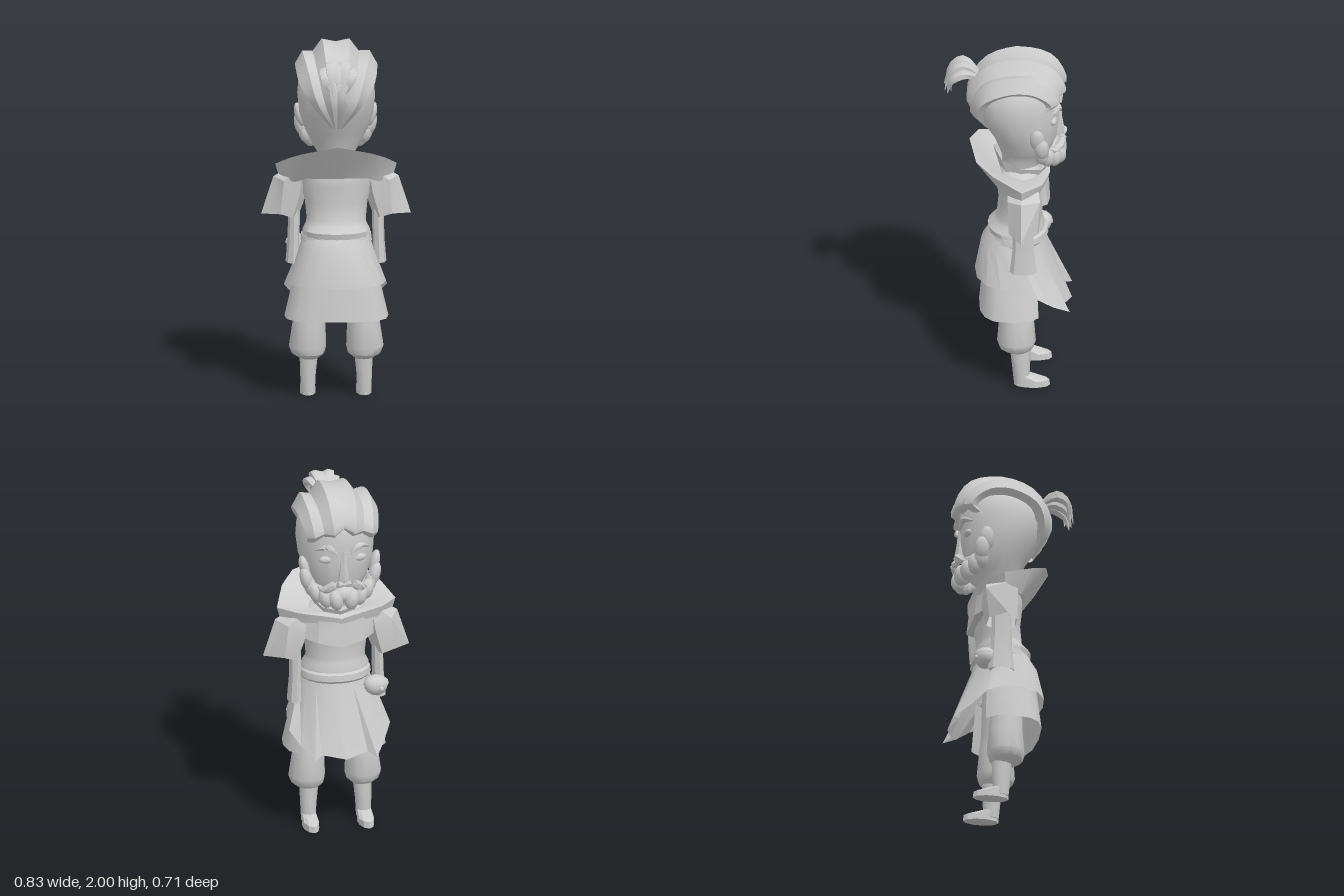
import * as THREE from 'three';
import { toCreasedNormals } from 'three/addons/utils/BufferGeometryUtils.js';

const grey = new THREE.MeshStandardMaterial({ color: 0xcccccc, side: THREE.DoubleSide });
grey.name = 'plain grey';

// Skin a list of cross-sections; rings are arrays of [x, y, z]
function loft(rings, { closed = true, caps = [true, true], crease = 0.7 } = {}) {
  const n = rings[0].length, pos = rings.flat(2), idx = [];
  for (let r = 0; r < rings.length - 1; r++) {
    for (let i = 0; i < (closed ? n : n - 1); i++) {
      const j = (i + 1) % n, a = r * n + i, b = r * n + j;
      idx.push(a, b, b + n, a, b + n, a + n);
    }
  }
  [0, rings.length - 1].forEach((r, k) => {
    if (!closed || !caps[k]) return;
    const c = pos.length / 3;
    for (let d = 0; d < 3; d++) pos.push(rings[r].reduce((s, p) => s + p[d], 0) / n);
    for (let i = 0; i < n; i++) {
      const a = r * n + i, b = r * n + (i + 1) % n;
      idx.push(...(k ? [a, b, c] : [b, a, c]));
    }
  });
  const g = new THREE.BufferGeometry();
  g.setAttribute('position', new THREE.Float32BufferAttribute(pos, 3));
  g.setIndex(idx);
  return toCreasedNormals(g, crease);
}

// Oval section at height y, from the back centre round; cx shifts it sideways
const oval = (y, w, zf, zb, n = 18, cx = 0) => Array.from({ length: n }, (_, i) => {
  const a = i / n * Math.PI * 2;
  return [cx + Math.sin(a) * w, y, (zf + zb) / 2 + Math.cos(a) * (zb - zf) / 2];
});
const flip = ([x, y, z]) => [-x, y, z];
// Closed ring from its +x half, back centre to front centre
const mirrorRing = half => [...half, ...half.slice(1, -1).reverse().map(flip)];

// Tapered strand along a curve
function strand(points, radius, flat = 1) {
  const curve = new THREE.CatmullRomCurve3(points.map(p => new THREE.Vector3(...p)));
  const rings = [];
  for (let k = 0; k <= 8; k++) {
    const t = k / 8, c = curve.getPoint(t), d = curve.getTangent(t);
    const u = new THREE.Vector3(1, 0, 0.01).cross(d).normalize(), v = d.clone().cross(u);
    const r = radius * Math.max(0.08, Math.sin(Math.PI * (0.12 + 0.86 * t)));
    rings.push(Array.from({ length: 6 }, (_, i) => {
      const a = i / 6 * Math.PI * 2;
      return c.clone().addScaledVector(u, Math.cos(a) * r * flat).addScaledVector(v, Math.sin(a) * r).toArray();
    }));
  }
  return loft(rings, { crease: 0.9 });
}

export function createModel() {
  const model = new THREE.Group();
  const add = (name, geo, p = [0, 0, 0], s = [1, 1, 1], rz = 0) => {
    const m = new THREE.Mesh(geo, grey);
    m.name = name;
    m.position.set(...p);
    m.scale.set(...s);
    m.rotation.z = rz;
    model.add(m);
  };
  const ball = new THREE.SphereGeometry(1, 10, 7);

  // Head and neck
  add('head', loft([
    [1.26, .09, -.17, .03], [1.36, .095, -.18, .03], [1.41, .13, -.24, .045], [1.5, .175, -.275, .08],
    [1.6, .207, -.285, .145], [1.7, .217, -.29, .18], [1.78, .21, -.285, .18], [1.84, .185, -.26, .15],
    [1.9, .13, -.18, .08],
  ].map(r => oval(...r)), { crease: 1 }));

  // Swept-back hair: grooves and ridges running from brow to nape
  const paths = [
    [[0, 1.81, -.27], [0, 1.83, -.305], [0, 1.94, -.24], [0, 1.985, -.05], [0, 1.92, .13], [0, 1.74, .21], [0, 1.54, .12]],
    [[.05, 1.76, -.27], [.06, 1.8, -.325], [.075, 1.95, -.25], [.075, 2, -.06], [.065, 1.935, .13], [.04, 1.74, .228], [.01, 1.54, .125]],
    [[.11, 1.77, -.26], [.11, 1.8, -.29], [.125, 1.9, -.22], [.125, 1.925, -.05], [.11, 1.87, .12], [.07, 1.7, .195], [.015, 1.54, .12]],
    [[.16, 1.73, -.24], [.165, 1.78, -.293], [.18, 1.9, -.2], [.185, 1.94, -.04], [.16, 1.87, .13], [.11, 1.7, .205], [.02, 1.54, .12]],
    [[.19, 1.72, -.2], [.2, 1.77, -.25], [.222, 1.85, -.16], [.226, 1.86, -.03], [.205, 1.79, .12], [.14, 1.68, .165], [.03, 1.54, .11]],
    [[.17, 1.72, -.18], [.18, 1.76, -.22], [.19, 1.82, -.16], [.19, 1.83, -.03], [.17, 1.77, .09], [.11, 1.66, .12], [.02, 1.55, .08]],
  ].map(p => new THREE.CatmullRomCurve3(p.map(q => new THREE.Vector3(...q)))
    .getPoints(20).map(v => v.toArray()));
  const hair = [...paths.slice(1).reverse().map(p => p.map(flip)), ...paths];
  add('hair', loft(hair, { closed: false, crease: 0.45 }));

  // Topknot of drooping strands
  for (const [x, top, end, z] of [[0, 1.925, 1.8, .35], [.035, 1.935, 1.77, .345], [.065, 1.9, 1.78, .31], [.03, 1.87, 1.75, .33]]) {
    for (const s of x ? [1, -1] : [1]) {
      add('topknotStrand', strand([[s * x * .3, 1.85, .14], [s * x, top, .24], [s * x * 1.1, top - .04, .31], [s * x * .7, end, z]], .034, .6));
    }
  }

  // Face
  add('nose', loft([
    [1.68, .018, -.295, -.25], [1.6, .02, -.302, -.25], [1.53, .032, -.315, -.24], [1.5, .03, -.312, -.24],
  ].map(r => oval(...r, 6)), { crease: 0.5 }));
  for (const s of [1, -1]) {
    add('eyebrow', strand([[s * .04, 1.67, -.292], [s * .09, 1.71, -.282], [s * .16, 1.68, -.235]], .02, .8));
    add('eyelid', ball, [s * .09, 1.63, -.255], [.045, .022, .022]);
    add('moustache', strand([[0, 1.485, -.295], [s * .05, 1.495, -.305], [s * .11, 1.455, -.27], [s * .14, 1.48, -.235]], .026));
    // Beard locks along the jaw: x, y, z, half width, half height
    for (const [x, y, z, w, h] of [
      [.198, 1.56, -.17, .028, .07], [.192, 1.5, -.195, .035, .07], [.17, 1.455, -.195, .035, .065],
      [.145, 1.425, -.225, .037, .06], [.1, 1.405, -.26, .038, .06], [.045, 1.395, -.285, .04, .06],
    ]) add('beardLock', ball, [s * x, y, z], [w, h, .042], s * -.25);
  }
  add('chinBeard', ball, [0, 1.42, -.26], [.08, .05, .05]);

  // Torso with a bloused waist
  add('shirt', loft([
    [.86, .18, -.2, .09], [.9, .19, -.205, .1], [.94, .188, -.205, .11], [.975, .168, -.195, .075],
    [1, .165, -.19, .06], [1.1, .175, -.2, .05], [1.2, .2, -.21, .06], [1.26, .2, -.2, .06], [1.32, .1, -.17, .03],
  ].map(r => oval(...r))));
  // Front yoke hanging over the chest
  add('chestFlap', loft([
    [[-.22, 1.25, -.16], [-.12, 1.26, -.21], [0, 1.25, -.225], [.12, 1.26, -.21], [.22, 1.25, -.16]],
    [[-.21, 1.14, -.16], [-.13, 1.12, -.225], [0, 1.09, -.235], [.13, 1.12, -.225], [.21, 1.14, -.16]],
    [[-.17, 1.14, -.12], [-.12, 1.12, -.18], [0, 1.1, -.19], [.12, 1.12, -.18], [.17, 1.14, -.12]],
  ], { closed: false, crease: 0.4 }));

  // Standing neckband and wide cowl
  add('neckband', loft([
    mirrorRing([[0, 1.28, .04], [.09, 1.28, .0], [.115, 1.28, -.08], [.08, 1.27, -.17], [0, 1.26, -.2]]),
    mirrorRing([[0, 1.42, .08], [.1, 1.38, .03], [.135, 1.34, -.08], [.1, 1.32, -.19], [0, 1.3, -.22]]),
  ], { caps: [false, false] }));
  add('cowl', loft([
    mirrorRing([[0, 1.245, .06], [.17, 1.245, .05], [.23, 1.22, .02], [.31, 1.215, -.09], [.22, 1.24, -.185], [.1, 1.23, -.21], [0, 1.2, -.22]]),
    mirrorRing([[0, 1.455, .21], [.19, 1.41, .165], [.27, 1.365, .07], [.335, 1.3, -.09], [.235, 1.3, -.2], [.1, 1.28, -.225], [0, 1.26, -.235]]),
    mirrorRing([[0, 1.43, .19], [.17, 1.39, .14], [.245, 1.35, .05], [.29, 1.3, -.09], [.2, 1.3, -.17], [.09, 1.29, -.2], [0, 1.275, -.21]]),
    mirrorRing([[0, 1.28, .03], [.08, 1.28, .02], [.11, 1.28, -.02], [.13, 1.28, -.08], [.1, 1.28, -.14], [.05, 1.28, -.17], [0, 1.27, -.18]]),
  ], { caps: [false, false], crease: 0.6 }));

  for (const s of [1, -1]) {
    const side = ring => ring.map(([x, y, z]) => [s * x, y, z]);
    // Flared cap sleeve and narrower forearm sleeve
    add('capSleeve', loft([
      side([[.28, 1.27, -.09], [.24, 1.26, -.01], [.19, 1.22, 0], [.17, 1.12, -.09], [.19, 1.22, -.19], [.24, 1.26, -.18]]),
      side([[.345, 1.23, -.088], [.29, 1.22, -.01], [.2, 1.15, -.005], [.18, 1.08, -.09], [.2, 1.15, -.2], [.29, 1.22, -.19]]),
      side([[.413, 1.02, -.088], [.31, 1.03, -.018], [.24, 1.01, -.02], [.21, 1.0, -.09], [.24, 1.01, -.18], [.31, 1.03, -.175]]),
    ], { caps: [true, false], crease: 0.4 }));
    add('forearmSleeve', loft([
      [1.12, .035, -.15, -.04, 8, s * .235], [.98, .033, -.15, -.035, 8, s * .232],
      [.88, .033, -.155, -.035, 8, s * .234], [.75, .04, -.17, -.02, 8, s * .238], [.78, .028, -.14, -.05, 8, s * .238],
    ].map(r => oval(...r)), { crease: 0.5 }));

    // Baggy trouser leg, shin and shoe
    add('trouserLeg', loft([
      [.75, .09, -.14, .05, 12, s * .1], [.52, .09, -.14, .04, 12, s * .145], [.42, .09, -.15, .04, 12, s * .15],
      [.28, .103, -.162, .052, 12, s * .158], [.24, .09, -.15, .04, 12, s * .155], [.21, .05, -.12, -.01, 12, s * .15],
    ].map(r => oval(...r))));
    add('shin', loft([
      [.25, .054, -.135, -.015, 10, s * .15], [.12, .045, -.13, -.03, 10, s * .155], [.02, .04, -.125, -.04, 10, s * .155],
    ].map(r => oval(...r))));
    add('shoe', loft([
      [0, .044, -.24, -.04, 10, s * .155], [.035, .044, -.235, -.04, 10, s * .155], [.065, .04, -.14, -.04, 10, s * .155],
    ].map(r => oval(...r)), { crease: 0.5 }));
  }

  // Tunic skirt with a long pointed front
  const hem = mirrorRing([[0, .65, .18], [.12, .65, .165], [.21, .645, .11], [.255, .645, .03], [.275, .64, -.07],
    [.285, .6, -.18], [.235, .53, -.26], [.175, .47, -.35], [.13, .49, -.31], [0, .47, -.355]]);
  add('tunicSkirt', loft([
    oval(.91, .185, -.2, .1), oval(.84, .205, -.215, .145), hem,
  ], { caps: [true, false], crease: 0.5 }));

  // Under-skirt, open at the front
  const band = (y, w, zf, zb) => Array.from({ length: 13 }, (_, i) => {
    const a = (i / 12 - .5) * Math.PI * 1.5, k = v => Math.sign(v) * Math.abs(v) ** .7;
    return [k(Math.sin(a)) * w, y, (zf + zb) / 2 + k(Math.cos(a)) * (zb - zf) / 2];
  });
  add('underSkirt', loft([band(.72, .225, -.2, .13), band(.455, .287, -.22, .157)], { closed: false }));

  // Belt and hip pouch
  add('belt', loft([oval(.925, .185, -.21, .09), oval(.915, .195, -.222, .1), oval(.88, .2, -.225, .11), oval(.865, .19, -.21, .1)], { crease: 0.5 }));
  add('pouch', ball, [-.205, .825, -.18], [.066, .055, .055]);
  add('pouchFlap', new THREE.SphereGeometry(1, 10, 4, 0, Math.PI * 2, 0, Math.PI / 2), [-.205, .835, -.18], [.073, .05, .062]);
  add('pouchButton', ball, [-.225, .82, -.232], [.014, .014, .012]);
  return model;
}
